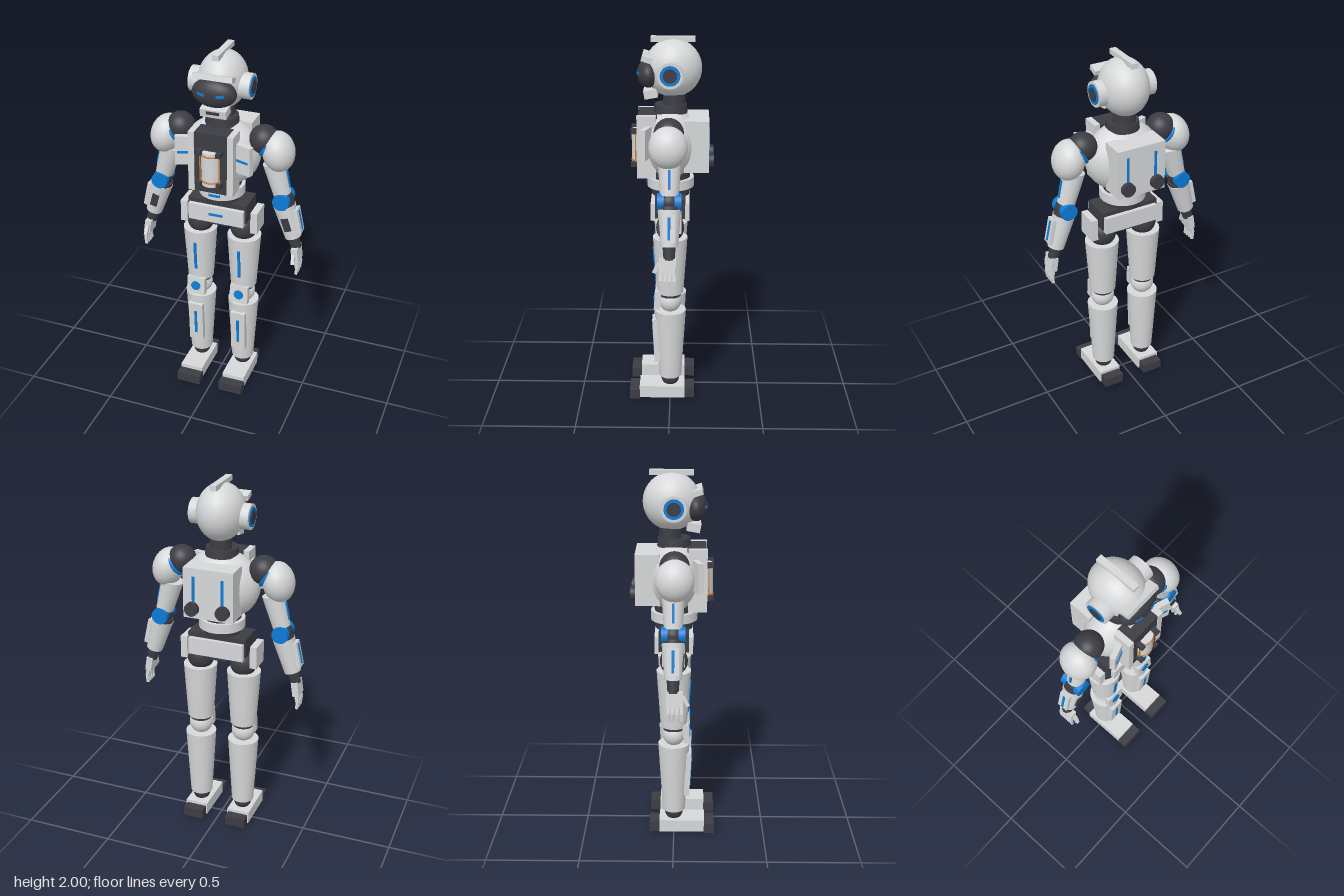
import * as THREE from 'three';

const paint = (name, color) => Object.assign(new THREE.MeshStandardMaterial({ color }), { name });

export function createModel() {
  const shell = paint('light shell', 0xd6d7d8);
  const dark = paint('dark joint', 0x3c3c44);
  const blue = paint('blue accent', 0x0c7cd6);
  const amber = paint('amber trim', 0xc07a35);

  const robot = new THREE.Group();
  robot.name = 'robot';

  // helpers
  const add = (name, geo, mat, p, r = [0, 0, 0], parent = robot) => {
    const m = new THREE.Mesh(geo, mat);
    m.name = name;
    m.position.set(...p);
    m.rotation.set(...r);
    parent.add(m);
    return m;
  };
  const box = (name, mat, size, p, r, parent) =>
    add(name, new THREE.BoxGeometry(...size), mat, p, r, parent);
  const ball = (name, mat, radii, p, r, parent) =>
    add(name, new THREE.SphereGeometry(1, 32, 20).scale(...radii), mat, p, r, parent);
  const drum = (name, mat, rTop, rBottom, h, p, r, parent) =>
    add(name, new THREE.CylinderGeometry(rTop, rBottom, h, 32), mat, p, r, parent);
  const ring = (name, mat, radius, tube, p, r, parent) =>
    add(name, new THREE.TorusGeometry(radius, tube, 10, 32), mat, p, r, parent);
  // tapered limb between two points in the xy plane
  const limb = (name, mat, [x0, y0, r0], [x1, y1, r1], z = 0) => {
    const dx = x0 - x1, dy = y0 - y1;
    return drum(name, mat, r0, r1, Math.hypot(dx, dy),
      [(x0 + x1) / 2, (y0 + y1) / 2, z], [0, 0, Math.atan2(-dx, dy)]);
  };
  const H = Math.PI / 2;

  // head
  ball('skull', shell, [0.127, 0.151, 0.151], [0, 1.836, -0.013]);
  box('crest', shell, [0.035, 0.028, 0.23], [0, 1.986, -0.013]);
  box('brow', shell, [0.21, 0.028, 0.058], [0, 1.893, 0.12], [-0.3, 0, 0]);
  ball('faceplate', dark, [0.118, 0.076, 0.06], [0, 1.81, 0.114]);
  box('chin', shell, [0.14, 0.044, 0.07], [0, 1.709, 0.103], [0.18, 0, 0]);
  box('mouth', dark, [0.07, 0.016, 0.008], [0, 1.708, 0.138], [0.18, 0, 0]);

  // neck
  drum('neck', dark, 0.058, 0.06, 0.12, [0, 1.67, -0.02]);
  drum('neckCollar', dark, 0.085, 0.09, 0.045, [0, 1.625, 0]);

  // torso
  ball('ribcage', shell, [0.21, 0.19, 0.148], [0, 1.44, 0]);
  box('chestPanel', dark, [0.18, 0.335, 0.1], [0, 1.438, 0.12]);
  drum('capsule', shell, 0.055, 0.055, 0.19, [0, 1.415, 0.152]);
  for (const y of [1.492, 1.345]) ring('capsuleTrim', amber, 0.054, 0.005, [0, y, 0.152], [H, 0, 0]);
  drum('waist', dark, 0.108, 0.1, 0.17, [0, 1.24, 0]);
  drum('waistBand', shell, 0.125, 0.125, 0.052, [0, 1.226, 0]);
  box('waistLight', blue, [0.062, 0.013, 0.008], [0, 1.227, 0.124]);

  // backpack
  box('backpack', shell, [0.275, 0.275, 0.13], [0, 1.445, -0.138]);

  // pelvis
  box('pelvis', dark, [0.33, 0.105, 0.16], [0, 1.115, 0]);
  box('crotch', dark, [0.1, 0.08, 0.12], [0, 1.05, 0]);
  box('frontBelt', shell, [0.31, 0.095, 0.03], [0, 1.095, 0.088]);
  box('backBelt', shell, [0.31, 0.095, 0.03], [0, 1.095, -0.088]);
  box('beltLight', blue, [0.08, 0.013, 0.008], [0, 1.097, 0.103]);

  for (const s of [1, -1]) {
    // ears and eyes
    drum('earCup', shell, 0.067, 0.067, 0.06, [s * 0.133, 1.822, 0], [0, 0, H]);
    drum('earRing', blue, 0.052, 0.052, 0.008, [s * 0.163, 1.822, 0], [0, 0, H]);
    drum('earCore', dark, 0.036, 0.036, 0.008, [s * 0.166, 1.822, 0], [0, 0, H]);
    box('eye', blue, [0.042, 0.013, 0.009], [s * 0.05, 1.816, 0.167], [0, s * 0.24, s * 0.12]);

    // chest trim
    box('chestRail', shell, [0.033, 0.335, 0.1], [s * 0.106, 1.438, 0.125]);
    const plate = box('chestPlate', shell, [0.098, 0.16, 0.03], [s * 0.162, 1.472, 0.125], [0, -s * 0.33, 0]);
    box('chestLight', blue, [0.075, 0.012, 0.008], [0, -0.008, 0.015], [0, 0, 0], plate);
    for (const y of [1.51, 1.33]) box('capsuleClamp', dark, [0.026, 0.026, 0.045], [s * 0.053, y, 0.187]);
    box('capsuleRod', amber, [0.006, 0.16, 0.006], [s * 0.053, 1.42, 0.184]);

    // backpack details
    drum('thruster', dark, 0.037, 0.037, 0.04, [s * 0.085, 1.363, -0.21], [H, 0, 0]);
    box('backLight', blue, [0.014, 0.15, 0.008], [s * 0.08, 1.463, -0.203]);

    // shoulder
    ball('shoulderJoint', dark, [0.077, 0.077, 0.077], [s * 0.23, 1.545, 0.005]);
    ring('shoulderRing', blue, 0.068, 0.012, [s * 0.26, 1.524, 0.005], [0, s * H, s * -0.6]).rotation.order = 'ZYX';
    ball('shoulderPad', shell, [0.084, 0.108, 0.1], [s * 0.31, 1.49, 0.007], [0, 0, s * 0.25]);

    // arm
    const upper = limb('upperArm', shell, [s * 0.285, 1.42, 0.06], [s * 0.335, 1.245, 0.048]);
    box('upperArmLight', blue, [0.008, 0.1, 0.013], [s * 0.055, -0.01, 0], [0, 0, -s * 0.066], upper);
    ball('elbow', dark, [0.052, 0.052, 0.056], [s * 0.344, 1.215, 0]);
    drum('elbowCap', blue, 0.045, 0.045, 0.122, [s * 0.344, 1.216, 0], [H, 0, 0]);
    limb('elbowCuff', dark, [s * 0.345, 1.195, 0.056], [s * 0.353, 1.168, 0.058]);
    const fore = limb('forearm', shell, [s * 0.35, 1.178, 0.06], [s * 0.405, 0.995, 0.045]);
    box('forearmPlate', shell, [0.022, 0.14, 0.06], [s * 0.055, 0, 0], [0, 0, -s * 0.08], fore);
    box('forearmLight', blue, [0.008, 0.115, 0.013], [s * 0.066, 0, 0], [0, 0, -s * 0.08], fore);
    box('forearmScreen', dark, [0.038, 0.078, 0.009], [0, 0, 0.053], [0.08, 0, 0], fore);
    limb('wrist', dark, [s * 0.403, 1.0, 0.034], [s * 0.424, 0.93, 0.028]);

    // hand
    box('palm', shell, [0.036, 0.08, 0.085], [s * 0.43, 0.9, 0.008], [0, 0, s * 0.15]);
    for (let i = 0; i < 4; i++) {
      const z = -0.026 + i * 0.023;
      box('fingerBase', shell, [0.018, 0.045, 0.016], [s * 0.44, 0.85, z], [0, 0, s * 0.2]);
      box('fingerTip', shell, [0.015, 0.042, 0.014], [s * 0.443, 0.806, z], [0, 0, s * -0.1]);
    }
    box('thumb', shell, [0.018, 0.055, 0.018], [s * 0.427, 0.888, 0.066], [-0.45, 0, s * 0.1]);

    // hip
    box('hipPlate', shell, [0.038, 0.125, 0.12], [s * 0.2, 1.06, 0]);
    ball('hipJoint', dark, [0.075, 0.08, 0.075], [s * 0.125, 1.0, 0]);

    // leg
    const x = s * 0.128;
    const thigh = limb('thigh', shell, [x, 0.95, 0.093], [x, 0.63, 0.072]);
    box('thighLight', blue, [0.015, 0.175, 0.009], [0, 0.008, 0.084], [0.066, 0, 0], thigh);
    drum('kneeRing', dark, 0.058, 0.058, 0.03, [x, 0.625, 0]);
    ball('knee', shell, [0.066, 0.066, 0.062], [x, 0.58, 0]);
    const cap = box('kneePlate', shell, [0.105, 0.105, 0.035], [x, 0.595, 0.068], [-0.08, 0, 0]);
    drum('kneeLight', blue, 0.027, 0.027, 0.009, [0, 0, 0.018], [H, 0, 0], cap);
    const shin = limb('shin', shell, [x, 0.525, 0.086], [x, 0.125, 0.062]);
    const guard = box('shinGuard', shell, [0.083, 0.255, 0.03], [0, 0.022, 0.077], [0.05, 0, 0], shin);
    box('shinLight', blue, [0.015, 0.155, 0.008], [0, 0, 0.015], [0, 0, 0], guard);

    // foot
    ball('ankle', dark, [0.05, 0.05, 0.05], [x, 0.11, 0]);
    box('foot', shell, [0.13, 0.07, 0.25], [x, 0.043, 0.045]);
    box('toe', dark, [0.138, 0.055, 0.057], [x, 0.0275, 0.197]);
    box('heel', dark, [0.115, 0.055, 0.055], [x, 0.034, -0.108]);
  }
  return robot;
}
